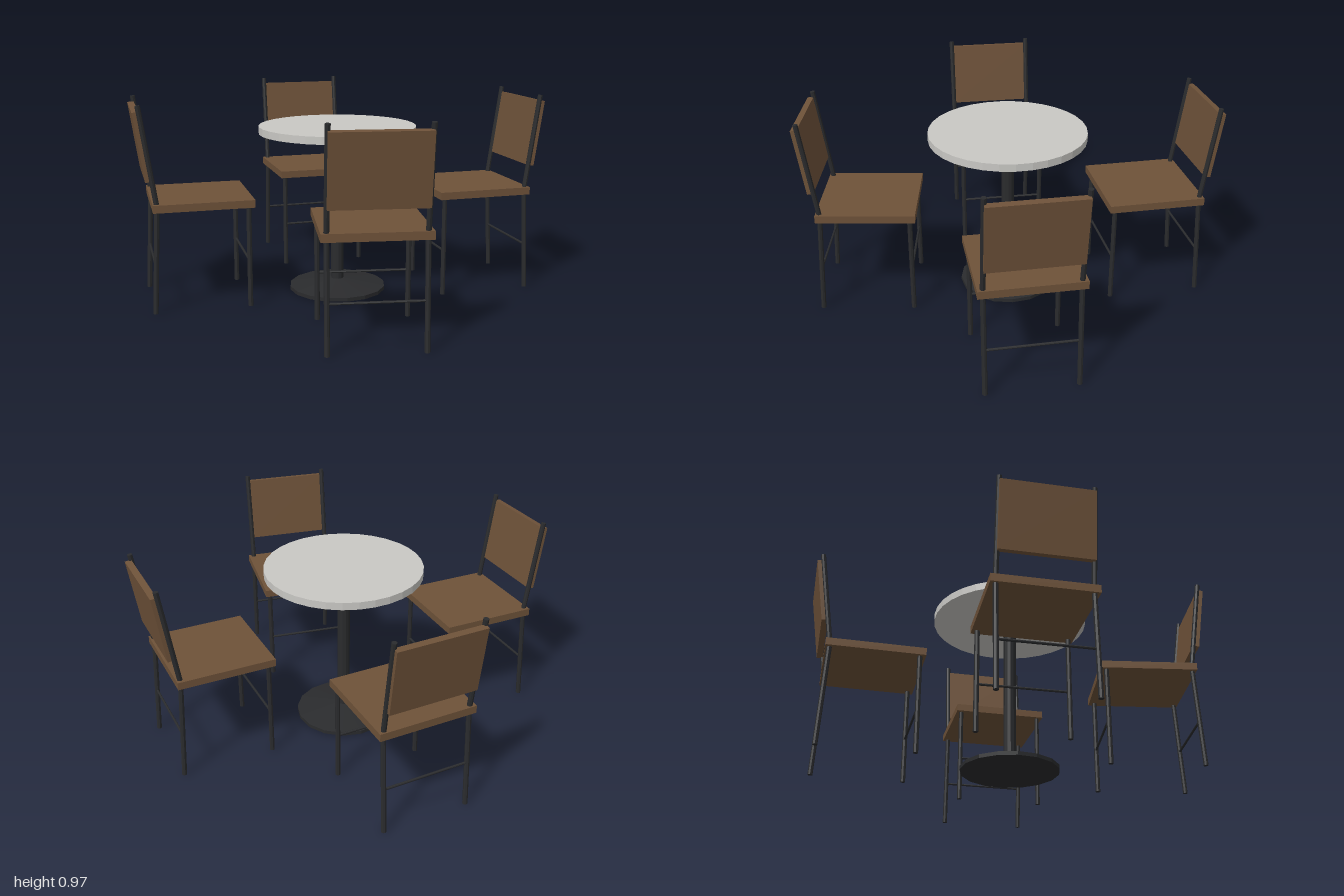
import * as THREE from 'three';

const wood = new THREE.MeshStandardMaterial({ color: 0x6e5239, name: 'brown wood' });
const metal = new THREE.MeshStandardMaterial({ color: 0x2a2b2d, name: 'dark metal' });
const stone = new THREE.MeshStandardMaterial({ color: 0xc9c8c4, name: 'pale grey top' });
for (const m of [wood, metal, stone]) m.flatShading = true;

function add(parent, name, geometry, material, x = 0, y = 0, z = 0) {
  const mesh = new THREE.Mesh(geometry, material);
  mesh.name = name;
  mesh.position.set(x, y, z);
  parent.add(mesh);
  return mesh;
}

// Straight round bar between two points
function bar(parent, name, a, b, radius) {
  const from = new THREE.Vector3(...a), to = new THREE.Vector3(...b);
  const dir = to.clone().sub(from);
  const mesh = add(parent, name, new THREE.CylinderGeometry(radius, radius, dir.length(), 8), metal);
  mesh.position.copy(from).add(to).multiplyScalar(0.5);
  mesh.quaternion.setFromUnitVectors(new THREE.Vector3(0, 1, 0), dir.normalize());
}

// Chair centred on its seat, with the backrest on local +z
function createChair() {
  const chair = new THREE.Group();
  const legX = 0.208, legZ = -0.205, r = 0.012;
  add(chair, 'seat', new THREE.BoxGeometry(0.466, 0.036, 0.466), wood, 0, 0.498, 0);
  for (const s of [-1, 1]) {
    const x = s * legX;
    bar(chair, 'frontLeg', [x, 0, legZ], [x, 0.485, legZ], r);
    bar(chair, 'rearLeg', [x, 0, 0.238], [x, 0.5, 0.213], r);
    bar(chair, 'backPost', [x, 0.5, 0.213], [x, 0.965, 0.28], r);
  }
  // Thin cross rods between the front legs and the rear legs
  for (const z of [legZ, 0.227]) bar(chair, 'stretcher', [-legX, 0.222, z], [legX, 0.222, z], 0.006);
  // Leaning back panel, fixed behind the posts
  const lean = Math.atan2(0.067, 0.465);
  const panel = add(chair, 'backrest', new THREE.BoxGeometry(0.418, 0.32, 0.03), wood, 0, 0.778, 0.268);
  panel.rotation.x = lean;
  return chair;
}

export function createModel() {
  const model = new THREE.Group();

  // Round pedestal table
  const table = new THREE.Group();
  table.name = 'table';
  add(table, 'tableTop', new THREE.CylinderGeometry(0.382, 0.382, 0.036, 32), stone, 0, 0.803, 0);
  add(table, 'column', new THREE.CylinderGeometry(0.031, 0.031, 0.75, 12), metal, 0, 0.412, 0);
  const profile = [[0, 0], [0.238, 0], [0.238, 0.018], [0.03, 0.05], [0, 0.05]];
  add(table, 'base', new THREE.LatheGeometry(profile.map(p => new THREE.Vector2(...p)), 16), metal);
  model.add(table);

  // Four chairs, each slightly turned: name, x, z, turn
  const places = [
    ['frontChair', 0, 0.667, -0.097],
    ['leftChair', 0.67, 0, Math.PI / 2 + 0.075],
    ['backChair', 0, -0.678, Math.PI + 0.087],
    ['rightChair', -0.676, -0.003, -Math.PI / 2 + 0.054],
  ];
  for (const [name, x, z, turn] of places) {
    const chair = createChair();
    chair.name = name;
    chair.position.set(x, 0, z);
    chair.rotation.y = turn;
    model.add(chair);
  }
  return model;
}
